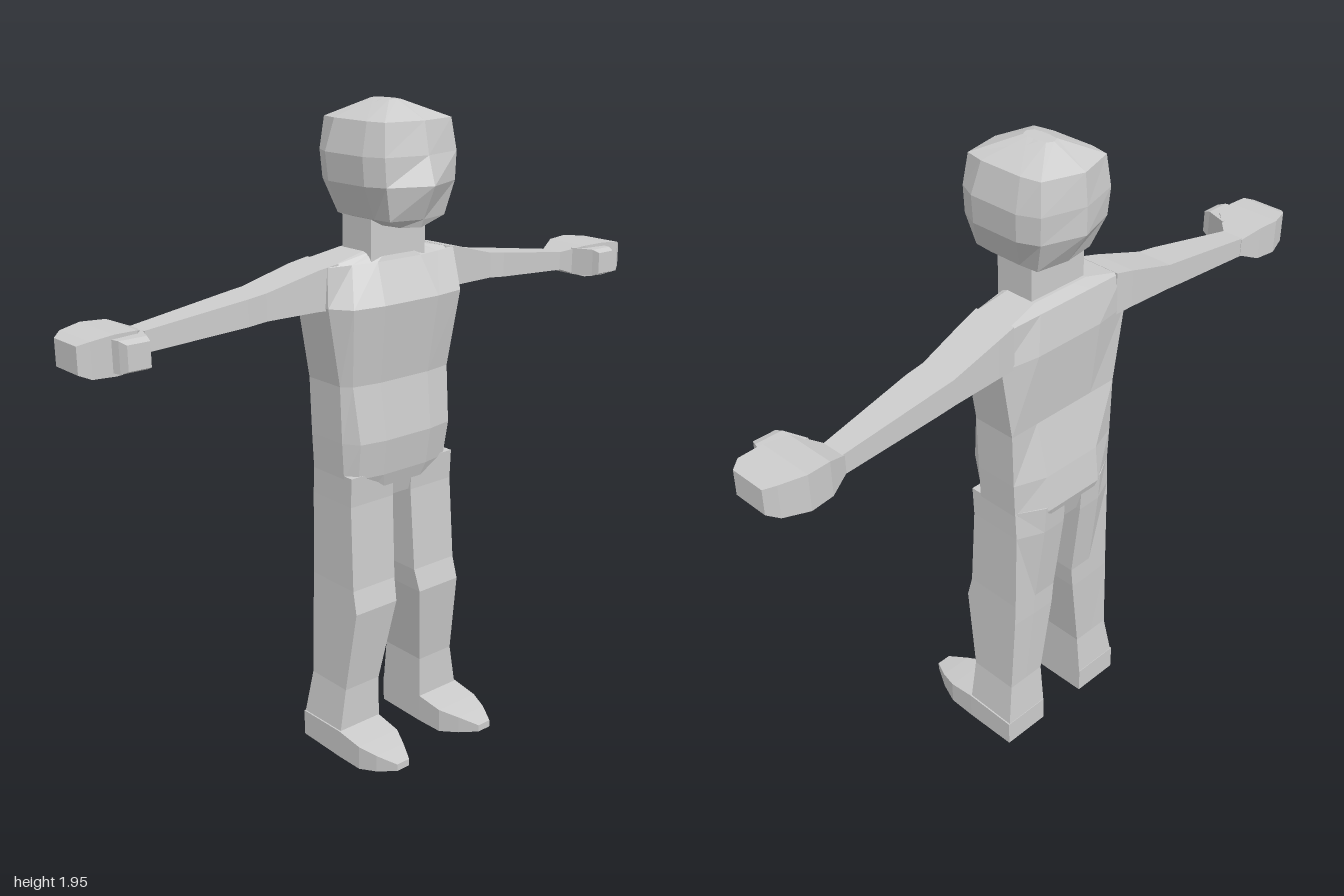
import * as THREE from 'three';

const grey = new THREE.MeshStandardMaterial({ color: 0xcccccc, flatShading: true });
grey.name = 'plain grey';

// Skin a closed, capped solid over rings of equal point count; winding is made outward.
function loft(name, rings) {
  const n = rings[0].length;
  const tris = [];
  for (let i = 0; i < rings.length - 1; i++) {
    for (let j = 0; j < n; j++) {
      const k = (j + 1) % n;
      const a = rings[i][j], b = rings[i][k], c = rings[i + 1][k], d = rings[i + 1][j];
      tris.push([a, b, c], [a, c, d]);
    }
  }
  const last = rings[rings.length - 1];
  for (let j = 1; j < n - 1; j++) {
    tris.push([rings[0][0], rings[0][j + 1], rings[0][j]]);
    tris.push([last[0], last[j], last[j + 1]]);
  }
  let volume = 0;
  for (const [a, b, c] of tris) {
    volume += a[0] * (b[1] * c[2] - b[2] * c[1]) - a[1] * (b[0] * c[2] - b[2] * c[0]) + a[2] * (b[0] * c[1] - b[1] * c[0]);
  }
  if (volume < 0) tris.forEach((t) => t.reverse());
  const geo = new THREE.BufferGeometry();
  geo.setAttribute('position', new THREE.Float32BufferAttribute(tris.flat(2), 3));
  geo.computeVertexNormals();
  const mesh = new THREE.Mesh(geo, grey);
  mesh.name = name;
  return mesh;
}

// Horizontal ring symmetric about x = 0, from its +x half as [x, z] points.
function symRing(y, half) {
  const right = half.map(([x, z]) => [x, y, z]);
  const left = half.filter(([x]) => x > 0).map(([x, z]) => [-x, y, z]).reverse();
  return [...right, ...left];
}

// Four-cornered rings: across x at a given y or z, and across a limb at a given x.
const sectionX = (s, x, y0, y1, z0, z1) => [[s * x, y0, z0], [s * x, y1, z0], [s * x, y1, z1], [s * x, y0, z1]];
const sectionZ = (s, z, x0, x1, y0, y1) => [[s * x0, y0, z], [s * x1, y0, z], [s * x1, y1, z], [s * x0, y1, z]];

export function createModel() {
  const model = new THREE.Group();
  model.name = 'figure';

  // Torso: y, half width, front corner x, front z, back z
  const torso = [
    [0.81, 0.17, 0.12, 0.01, -0.175],
    [0.89, 0.195, 0.165, 0.035, -0.2],
    [1.0, 0.2, 0.17, 0.052, -0.185],
    [1.17, 0.205, 0.18, 0.032, -0.15],
    [1.4, 0.242, 0.2, 0.065, -0.168],
    [1.512, 0.235, 0.16, 0.01, -0.15],
    [1.54, 0.1, 0.08, 0.0, -0.13],
  ];
  model.add(loft('torso', torso.map(([y, w, c, f, b]) => symRing(y, [
    [c * 0.5, f], [c, f - 0.015], [w, Math.min(-0.01, f - 0.03)], [w, Math.max(b, -0.15)], [c * 0.6, b],
  ]))));

  // Neck
  model.add(loft('neck', [1.5, 1.65].map((y) => symRing(y, [[0.1, 0.005], [0.1, -0.12]]))));

  // Head: y, corner x, side x, front z, front corner z, back corner z, back z
  const head = [
    [1.612, 0.05, 0.06, 0.1, 0.07, -0.1, -0.11],
    [1.635, 0.1, 0.105, 0.11, 0.085, -0.14, -0.155],
    [1.73, 0.125, 0.152, 0.155, 0.1, -0.175, -0.217],
    [1.81, 0.13, 0.158, 0.13, 0.1, -0.18, -0.217],
    [1.9, 0.12, 0.132, 0.112, 0.088, -0.17, -0.208],
    [1.948, 0.02, 0.025, 0.0, -0.01, -0.09, -0.1],
  ];
  model.add(loft('head', head.map(([y, c, w, f, fc, bc, b]) => symRing(y, [
    [0, f], [c, fc], [w, fc - 0.06], [w, bc + 0.06], [c, bc], [0, b],
  ]))));

  for (const s of [1, -1]) {
    const side = s > 0 ? 'left' : 'right';

    // Arm: x, bottom, top, back, front
    const arm = [
      [0.2, 1.39, 1.52, -0.155, -0.015],
      [0.26, 1.393, 1.508, -0.16, -0.025],
      [0.42, 1.388, 1.465, -0.163, -0.048],
      [0.48, 1.382, 1.457, -0.162, -0.05],
      [0.8, 1.355, 1.412, -0.155, -0.088],
    ];
    model.add(loft(side + 'Arm', arm.map((a) => sectionX(s, ...a))));

    // Hand
    const hand = [
      [0.77, 1.36, 1.413, -0.157, -0.09],
      [0.83, 1.337, 1.438, -0.18, -0.025],
      [0.9, 1.335, 1.441, -0.187, -0.015],
      [0.97, 1.34, 1.435, -0.163, -0.012],
      [0.998, 1.352, 1.425, -0.14, -0.03],
    ];
    model.add(loft(side + 'Hand', hand.map((h) => sectionX(s, ...h))));

    // Thumb
    model.add(loft(side + 'Thumb', [
      sectionZ(s, -0.06, 0.8, 0.92, 1.345, 1.43),
      sectionZ(s, 0.01, 0.825, 0.905, 1.345, 1.43),
      sectionZ(s, 0.033, 0.83, 0.895, 1.355, 1.422),
    ]));

    // Leg: y, inner x, outer x, front z, outer back z, inner back z
    const leg = [
      [0.9, 0.035, 0.195, 0.025, -0.15, -0.195],
      [0.81, 0.035, 0.195, 0.02, -0.155, -0.19],
      [0.55, 0.04, 0.2, 0.033, -0.155, -0.158],
      [0.48, 0.047, 0.203, 0.05, -0.155, -0.158],
      [0.22, 0.085, 0.215, 0.01, -0.15, -0.15],
      [0.07, 0.085, 0.24, 0.01, -0.165, -0.165],
    ];
    model.add(loft(side + 'Leg', leg.map(([y, x0, x1, f, bo, bi]) => [
      [s * x0, y, f], [s * x1, y, f], [s * x1, y, bo], [s * (x0 + x1) / 2, y, bi], [s * x0, y, bi],
    ])));

    // Foot, tapering to the toe
    model.add(loft(side + 'Foot', [
      sectionZ(s, -0.165, 0.085, 0.242, 0.003, 0.085),
      sectionZ(s, 0.01, 0.085, 0.242, 0, 0.088),
      sectionZ(s, 0.1, 0.088, 0.24, 0, 0.075),
      sectionZ(s, 0.16, 0.115, 0.222, 0.012, 0.065),
      sectionZ(s, 0.22, 0.145, 0.192, 0.03, 0.052),
    ]));
  }
  return model;
}
